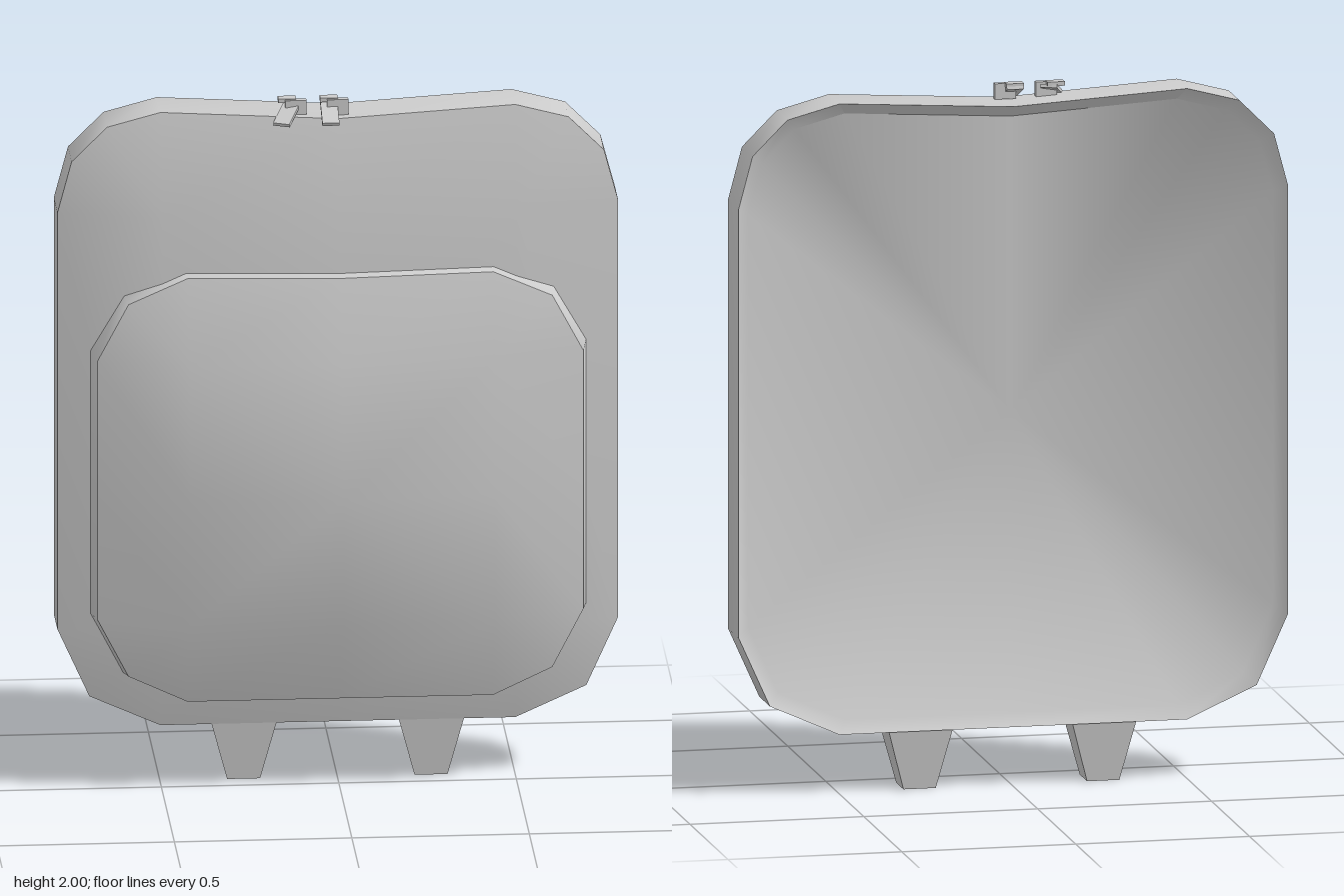
import * as THREE from 'three';
import { toCreasedNormals } from 'three/addons/utils/BufferGeometryUtils.js';

const material = new THREE.MeshStandardMaterial({ color: 0xcccccc, side: THREE.DoubleSide });

// Mirrors the right half of an outline (bottom to top) into a full counterclockwise loop.
function mirrorOutline(half) {
  const left = half.filter(([x]) => x > 0).reverse().map(([x, y]) => [-x, y]);
  return [...half, ...left];
}

// Skins rings of equal length from back to front, leaving out collapsed triangles.
function loft(rings, crease) {
  const pos = [];
  const key = (p) => p.map((v) => v.toFixed(4)).join();
  const tri = (a, b, c) => {
    if (new Set([key(a), key(b), key(c)]).size === 3) pos.push(...a, ...b, ...c);
  };
  for (let r = 0; r + 1 < rings.length; r++) {
    const a = rings[r], b = rings[r + 1];
    for (let i = 0; i < a.length; i++) {
      const j = (i + 1) % a.length;
      tri(a[i], a[j], b[j]);
      tri(a[i], b[j], b[i]);
    }
  }
  const geo = new THREE.BufferGeometry();
  geo.setAttribute('position', new THREE.Float32BufferAttribute(pos, 3));
  return toCreasedNormals(geo, crease);
}

// Outline inset toward a centre height, placed at depth z.
const inset = (outline, cy, w, h, d, z) =>
  outline.map(([x, y]) => [x * (1 - d / w), cy + (y - cy) * (1 - d / h), z]);

// Outline pulled in to a rectangle, so rounded corners gather in one point.
const clampTo = (outline, hw, y0, y1, zOf) => outline.map(([x, y]) => {
  const cx = THREE.MathUtils.clamp(x, -hw, hw), cy = THREE.MathUtils.clamp(y, y0, y1);
  return [cx, cy, zOf(cx, cy)];
});

const point = (outline, y, z) => outline.map(() => [0, y, z]);

function add(parent, name, geometry) {
  const mesh = new THREE.Mesh(geometry, material);
  mesh.name = name;
  parent.add(mesh);
  return mesh;
}

export function createModel() {
  const model = new THREE.Group();
  model.name = 'backpack';

  // Main body: recessed back panel, side wall and padded front
  const body = mirrorOutline([
    [0, 0.17], [0.5, 0.17], [0.7, 0.26], [0.79, 0.46], [0.79, 1.69],
    [0.75, 1.84], [0.65, 1.94], [0.5, 1.98], [0, 1.95],
  ]);
  const bodyInset = (d, z) => inset(body, 1.075, 0.79, 0.9, d, z);
  add(model, 'body', loft([
    point(body, 1.07, -0.145),
    bodyInset(0.035, -0.145),
    bodyInset(0, -0.18),
    bodyInset(0, -0.04),
    clampTo(body, 0.5, 0.46, 1.69, () => 0.03),
    point(body, 1.07, 0.03),
  ], 0.8));

  // Front pocket: short wall and domed face
  const pocket = mirrorOutline([
    [0, 0.255], [0.44, 0.255], [0.61, 0.335], [0.7, 0.51], [0.7, 0.89],
    [0.7, 1.29], [0.61, 1.46], [0.44, 1.535], [0, 1.525],
  ]);
  const pocketInset = (d, z) => inset(pocket, 0.89, 0.7, 0.64, d, z);
  add(model, 'frontPocket', loft([
    pocketInset(0, -0.03),
    pocketInset(0.015, 0.06),
    clampTo(pocket, 0.43, 0.51, 1.28,
      (x, y) => (Math.abs(x) > 0.4 && Math.abs(y - 0.89) > 0.3 ? 0.125 : 0.14)),
    point(pocket, 0.89, 0.18),
  ], 0.95));

  // Tapered feet
  for (const side of [1, -1]) {
    const geo = new THREE.BoxGeometry(0.186, 0.175, 0.13);
    const p = geo.attributes.position;
    for (let i = 0; i < p.count; i++) {
      if (p.getY(i) < 0) p.setXYZ(i, p.getX(i) * 0.5, p.getY(i), p.getZ(i) * 0.73);
    }
    geo.computeVertexNormals();
    add(model, side > 0 ? 'leftFoot' : 'rightFoot', geo)
      .position.set(side * 0.264, 0.0875, -0.107);
  }

  // Zip pulls: a slider with a hanging tab
  for (const [name, x, turn] of [['leftZipPull', -0.022, 0], ['rightZipPull', -0.14, -0.42]]) {
    const pull = new THREE.Group();
    pull.name = name;
    pull.position.set(x, 1.967, -0.055);
    add(pull, 'slider', new THREE.BoxGeometry(0.06, 0.045, 0.018)).position.set(0.024, 0.008, -0.02);
    add(pull, 'sliderTop', new THREE.BoxGeometry(0.05, 0.012, 0.03)).position.set(0, 0.027, -0.035);
    const tab = add(pull, 'tab', new THREE.BoxGeometry(0.048, 0.01, 0.112));
    tab.rotation.set(0.4, turn, 0, 'YXZ');
    model.add(pull);
  }

  return model;
}
